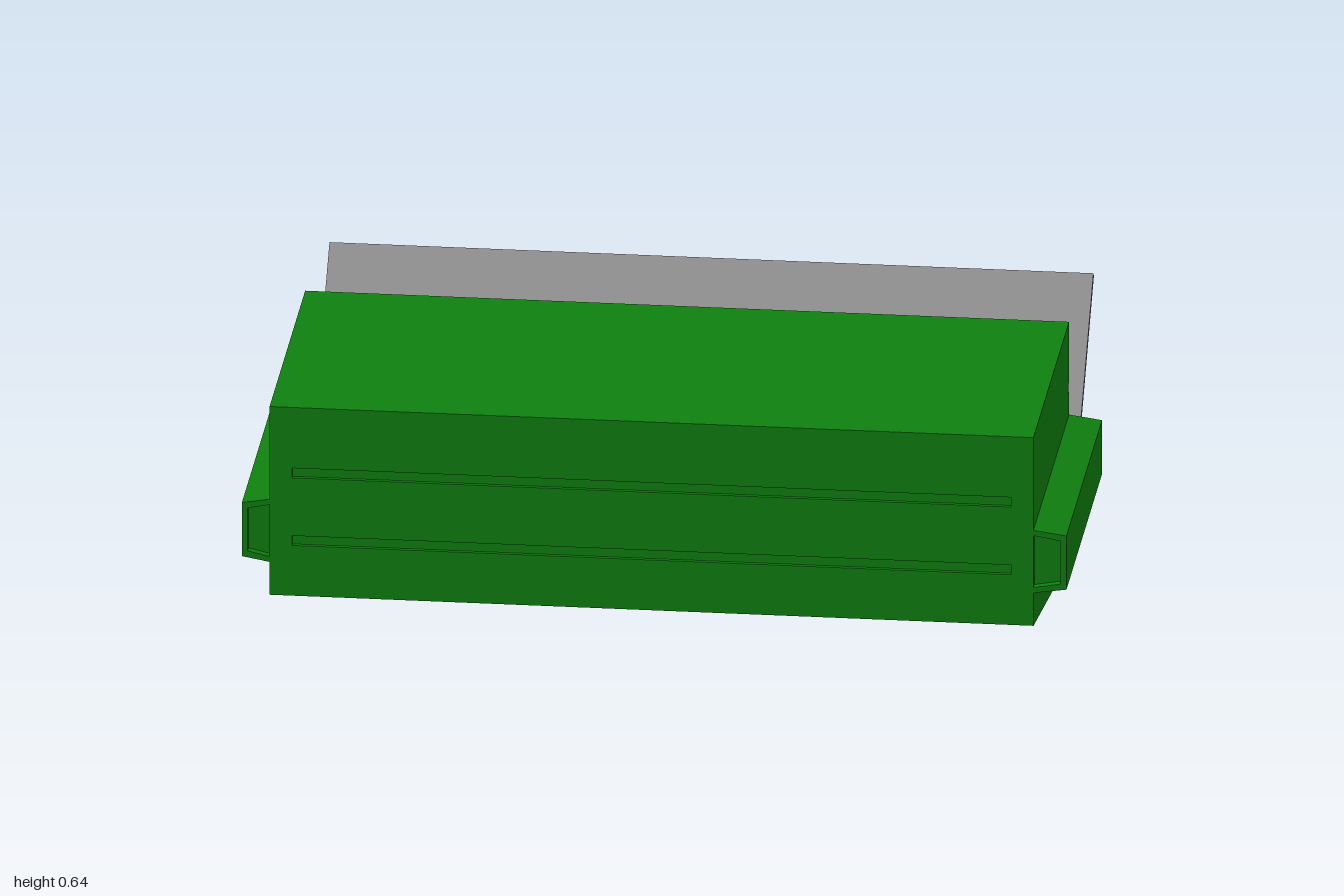
import * as THREE from 'three';

const green = new THREE.MeshStandardMaterial({ color: 0x0f800f });
const grey = new THREE.MeshStandardMaterial({ color: 0x777777 });

const LEFT = 0.92, RIGHT = -0.933;   // body ends in x
const FRONT = 0.655, BACK = -0.117;  // body ends in z
const TOP = 0.637, WALL = 0.055, CEILING = 0.32;
const WIDTH = LEFT - RIGHT, MID = (LEFT + RIGHT) / 2;
const GROOVES = [[0.28, 0.305], [0.455, 0.48]];

// Height of the slanted bottom rim at a given z
const rimY = z => 0.018 + (0.15 - 0.018) * (z - BACK) / (FRONT - BACK);

const toShape = points => new THREE.Shape(points.map(p => new THREE.Vector2(...p)));

function addMesh(parent, name, geometry, material) {
  const mesh = new THREE.Mesh(geometry, material);
  mesh.name = name;
  parent.add(mesh);
  return mesh;
}

// Extrude a (z, y) profile along x, between x0 and x1
function extrudeX(points, x0, x1) {
  const g = new THREE.ExtrudeGeometry(toShape(points), { depth: x1 - x0, bevelEnabled: false });
  return g.rotateY(-Math.PI / 2).translate(x1, 0, 0);
}

// Body outline in (z, y); hollow adds the cavity, frontDepth the front grooves
function bodyProfile(hollow, frontDepth) {
  const p = [[BACK, rimY(BACK)]];
  if (hollow) {
    const a = BACK + WALL, b = FRONT - WALL;
    p.push([a, rimY(a)], [a, CEILING], [b, CEILING], [b, rimY(b)]);
  }
  p.push([FRONT, rimY(FRONT)]);
  if (frontDepth) {
    for (const [lo, hi] of GROOVES)
      p.push([FRONT, lo], [FRONT - frontDepth, lo], [FRONT - frontDepth, hi], [FRONT, hi]);
  }
  p.push([FRONT, TOP], [BACK, TOP]);
  for (const [lo, hi] of [...GROOVES].reverse())
    p.push([BACK, hi], [BACK + 0.015, hi], [BACK + 0.015, lo], [BACK, lo]);
  return p;
}

// Hollow side rail, tapered in section and recessed at both ends
function makeRail(side, baseX, width) {
  const rail = new THREE.Group();
  rail.name = side > 0 ? 'leftRail' : 'rightRail';
  const t = 0.014;
  const extrudeZ = (points, z0, z1) => new THREE.ExtrudeGeometry(
    toShape(points.map(([x, y]) => [baseX + side * x, y])),
    { depth: z1 - z0, bevelEnabled: false }).translate(0, 0, z0);
  const inner = [[0, 0.235 + t], [width - t, 0.247 + t], [width - t, 0.386 - t], [0, 0.397 - t]];
  const shell = [[0, 0.235], [width, 0.247], [width, 0.386], [0, 0.397], ...[...inner].reverse()];
  addMesh(rail, 'railShell', extrudeZ(shell, BACK, FRONT), green);
  addMesh(rail, 'railCore', extrudeZ(inner, BACK + 0.03, FRONT - 0.02), green);
  addMesh(rail, 'railEndPlate', extrudeZ(inner, BACK + 0.01, BACK + 0.03), grey);
  return rail;
}

export function createModel() {
  const model = new THREE.Group();
  model.name = 'openBox';

  // Body: hollow middle closed by two solid end walls
  const body = new THREE.Group();
  body.name = 'body';
  addMesh(body, 'shell', extrudeX(bodyProfile(true, 0.01), RIGHT + WALL, LEFT - WALL), green);
  addMesh(body, 'leftWall', extrudeX(bodyProfile(false, 0), LEFT - WALL, LEFT), green);
  addMesh(body, 'rightWall', extrudeX(bodyProfile(false, 0), RIGHT, RIGHT + WALL), green);
  model.add(body);

  // Grey panel closing the cavity from above
  addMesh(model, 'innerPanel',
    new THREE.BoxGeometry(WIDTH - 2 * WALL, 0.01, FRONT - BACK - 2 * WALL), grey)
    .position.set(MID, CEILING - 0.005, (FRONT + BACK) / 2);

  // Side rails
  model.add(makeRail(1, LEFT, 1 - LEFT), makeRail(-1, RIGHT, 1 + RIGHT));

  // Flap hinged on the lower back edge, swung open
  addMesh(model, 'flap', extrudeX(
    [[-0.11, 0], [-0.099, 0.011], [-0.644, 0.558], [-0.655, 0.547]], RIGHT, LEFT), grey);

  return model;
}
